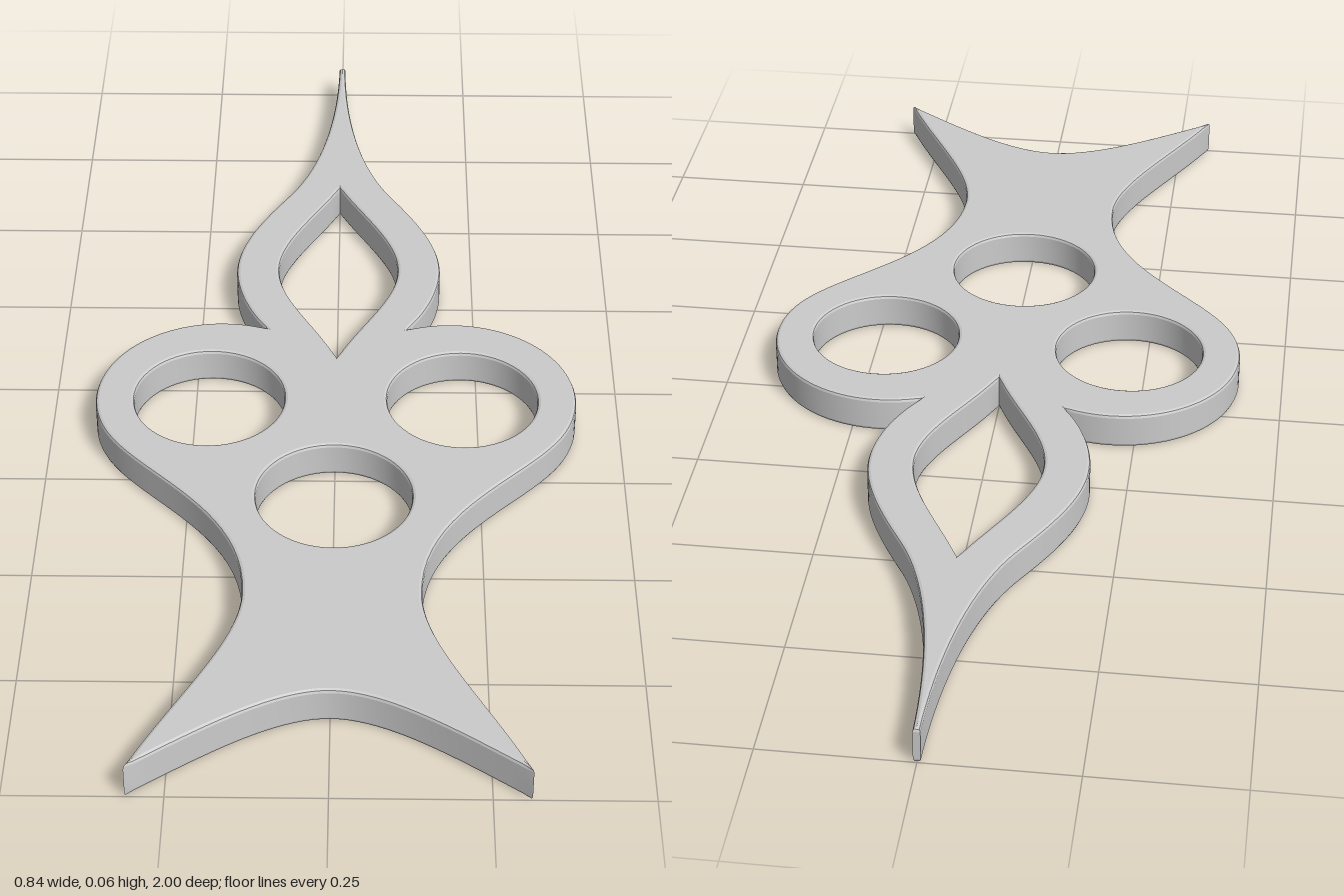
import * as THREE from 'three';
import { toCreasedNormals } from 'three/addons/utils/BufferGeometryUtils.js';

const THICK = 0.065, BEVEL = 0.006;

// Add Bezier pieces given as [x, z, x, z, x, z]; z runs down the drawing plane
function bezier(path, ...pieces) {
  for (const [a, b, c, d, e, f] of pieces) path.bezierCurveTo(a, -b, c, -d, e, -f);
}

// Close a right half by mirroring it in x, without repeating centre points;
// the result runs anticlockwise
function mirrored(path) {
  const half = path.getPoints(20);
  const left = half.filter(p => p.x > 1e-5).reverse().map(p => new THREE.Vector2(-p.x, p.y));
  return [...half, ...left].reverse();
}

export function createModel() {
  const group = new THREE.Group();
  group.name = 'ornamentalPlate';

  // Right half of the outline: flame spike, round lobe, waist, tail prong, arch
  const lobe = { x: 0.207, z: 0.095, r: 0.215, start: 1.951 };
  const notchX = lobe.x + lobe.r * Math.cos(lobe.start);
  const notchZ = lobe.z - lobe.r * Math.sin(lobe.start);
  const outline = new THREE.Path().moveTo(0.006, 1);
  bezier(outline,
    [0.008, -0.8, 0.04, -0.63, 0.1, -0.53],
    [0.15, -0.445, 0.189, -0.37, 0.189, -0.29],
    [0.189, -0.22, 0.16, -0.15, notchX, notchZ]);
  outline.absarc(lobe.x, -lobe.z, lobe.r, lobe.start, -Math.PI / 6, true);
  bezier(outline,
    [0.328, 0.315, 0.146, 0.4, 0.146, 0.61],
    [0.146, 0.72, 0.25, 0.86, 0.31, 1],
    [0.2, 0.92, 0.09, 0.833, 0, 0.833]);
  const shape = new THREE.Shape(mirrored(outline));

  // Leaf-shaped opening in the flame
  const leaf = new THREE.Path().moveTo(0, 0.56);
  bezier(leaf,
    [0.04, -0.47, 0.11, -0.38, 0.11, -0.29],
    [0.11, -0.2, 0.04, -0.12, 0, -0.02]);
  shape.holes.push(new THREE.Path(mirrored(leaf)));

  // Three round openings
  for (const [x, z] of [[-0.222, 0.099], [0.222, 0.099], [0, 0.362]]) {
    shape.holes.push(new THREE.Path().absarc(x, -z, 0.132, 0, Math.PI * 2, false));
  }

  // Flat plate with slightly rounded edges
  const extruded = new THREE.ExtrudeGeometry(shape, {
    depth: THICK - 2 * BEVEL, curveSegments: 32,
    bevelEnabled: true, bevelThickness: BEVEL, bevelSize: BEVEL, bevelOffset: -BEVEL, bevelSegments: 2,
  });
  extruded.rotateX(-Math.PI / 2);
  extruded.translate(0, BEVEL, 0);
  const plate = new THREE.Mesh(toCreasedNormals(extruded, 0.36), new THREE.MeshStandardMaterial({ color: 0xcccccc }));
  plate.name = 'plate';
  group.add(plate);
  return group;
}
